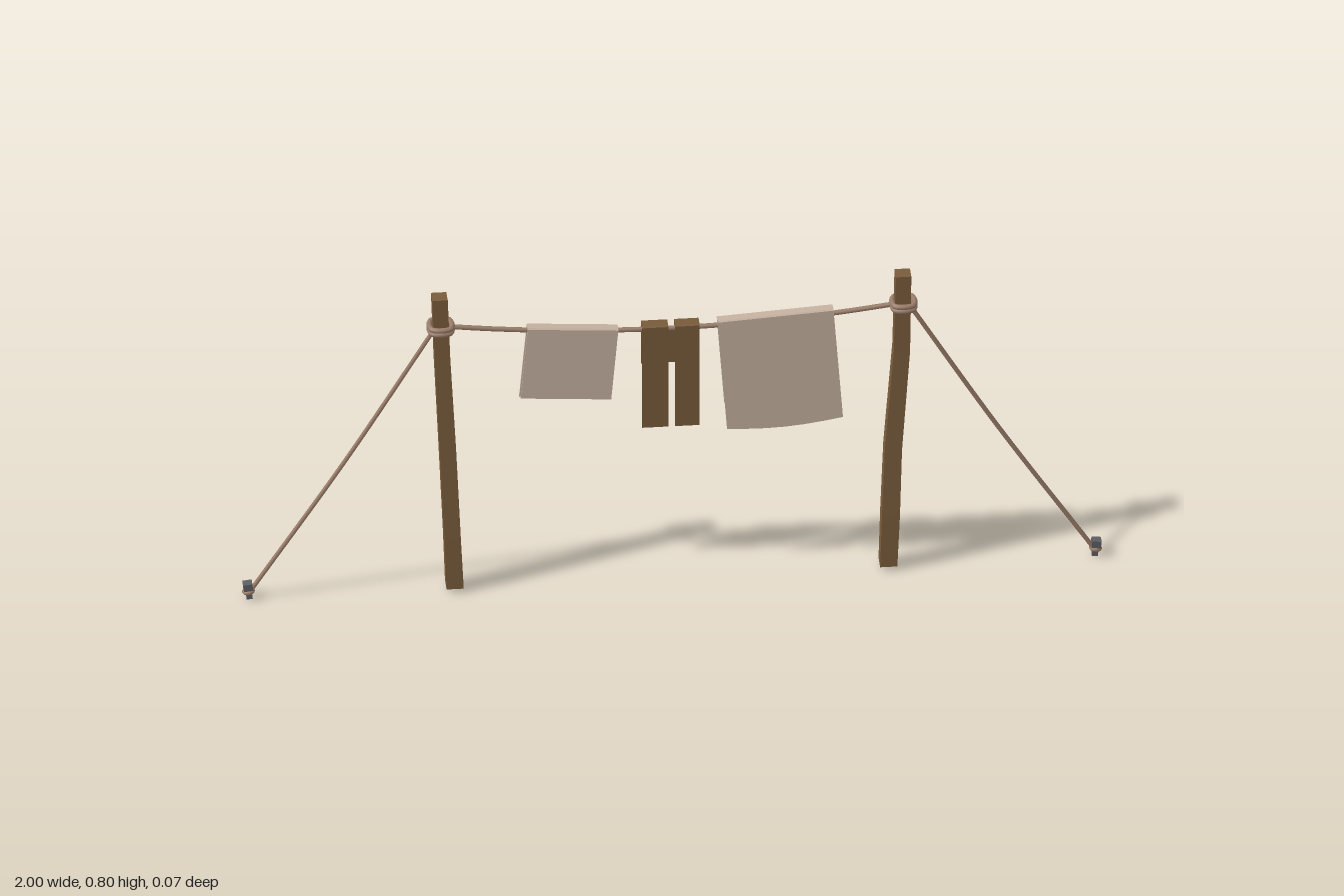
import * as THREE from 'three';

const mat = (name, color, side = THREE.FrontSide) =>
  Object.assign(new THREE.MeshStandardMaterial({ color, side }), { name });

export function createModel() {
  const wood = mat('brown wood', 0x7a5c3c);
  const rope = mat('rope', 0x9a7d69);
  const linen = mat('linen', 0xc4b09f);
  const brownCloth = mat('brown cloth', 0x785a3a);
  const iron = mat('dark iron', 0x5c5e62);
  const dark = mat('dark stitching', 0x46341f);

  const model = new THREE.Group();
  const add = (name, geo, material, parent = model) => {
    const m = new THREE.Mesh(geo, material);
    m.name = name;
    parent.add(m);
    return m;
  };
  const tube = (pts, r, closed = false) => new THREE.TubeGeometry(
    new THREE.CatmullRomCurve3(pts.map(p => new THREE.Vector3(...p)), closed), 28, r, 8, closed);
  const lineY = x => 0.686 + 0.038 * (x / 0.54) ** 2;

  // Leaning, slightly crooked square post; rings are [y, x, z, half width, half depth]
  const post = rings => {
    const geo = new THREE.BoxGeometry(1, 1, 1, 1, rings.length - 1, 1).toNonIndexed();
    const p = geo.attributes.position;
    for (let i = 0; i < p.count; i++) {
      const [y, x, z, w, d] = rings[Math.round((p.getY(i) + 0.5) * (rings.length - 1))];
      p.setXYZ(i, x + Math.sign(p.getX(i)) * w, y, z + Math.sign(p.getZ(i)) * d);
    }
    geo.computeVertexNormals();
    return geo;
  };
  add('rightPost', post([
    [0.01, -0.507, 0, 0.02, 0.021], [0.15, -0.513, 0.001, 0.019, 0.021],
    [0.4, -0.524, 0, 0.019, 0.019], [0.64, -0.536, -0.001, 0.018, 0.019],
    [0.805, -0.542, 0, 0.018, 0.018]]), wood);
  add('leftPost', post([
    [0.01, 0.503, 0, 0.02, 0.021], [0.15, 0.508, 0.001, 0.021, 0.021],
    [0.33, 0.514, 0, 0.02, 0.02], [0.6, 0.534, -0.001, 0.019, 0.019],
    [0.805, 0.538, 0, 0.018, 0.018]]), wood);

  // Sagging washing line
  const linePts = [];
  for (let i = -5; i <= 5; i++) linePts.push([i * 0.106, lineY(i * 0.106), 0]);
  add('washingLine', tube(linePts, 0.006), rope);

  for (const s of [-1, 1]) {
    const side = s > 0 ? 'left' : 'right';
    // Rope wound around the post
    const c = 0.021;
    for (const y of [0.716, 0.727]) {
      add(side + 'PostLashing', tube([
        [s * 0.539 - c, y, -c], [s * 0.539 + c, y, -c],
        [s * 0.539 + c, y, c], [s * 0.539 - c, y, c]], 0.0065, true), rope);
    }
    // Guy rope to the ground
    add(side + 'GuyRope', tube([
      [s * 0.55, 0.722, 0], [s * 0.762, 0.365, 0], [s * 0.98, 0.024, 0]], 0.0055), rope);

    // Ground peg with a loop of rope
    const peg = new THREE.Group();
    peg.name = side + 'Peg';
    add('pegShaft', new THREE.BoxGeometry(0.014, 0.036, 0.014).translate(0, 0.02, 0), iron, peg);
    add('pegHead', new THREE.BoxGeometry(0.022, 0.018, 0.022).translate(0, 0.035, 0), iron, peg);
    add('pegLoop', new THREE.TorusGeometry(0.01, 0.0055, 6, 12)
      .rotateX(Math.PI / 2).translate(0, 0.021, 0), rope, peg);
    peg.position.x = s * 0.984;
    peg.rotation.z = -s * 0.12;
    model.add(peg);
  }

  // Cloth folded over the line: an upside-down U swept along x, then skewed
  const cloth = ({ x0, x1, top0, top1, front, back, skew = 0, sag = 0, half = 0.013, flare = 0 }) => {
    const t = 0.005, h = half, f = flare;
    const shape = new THREE.Shape([
      [-h - f, -front], [-h + t - f, -front], [-h + t, -t], [h - t, -t],
      [h - t + f, -back], [h + f, -back], [h, -0.003], [h - 0.003, 0],
      [-h + 0.003, 0], [-h, -0.003]].map(p => new THREE.Vector2(...p)));
    const geo = new THREE.ExtrudeGeometry(shape, { depth: 1, steps: 6, bevelEnabled: false });
    const p = geo.attributes.position;
    for (let i = 0; i < p.count; i++) {
      const a = p.getX(i), b = p.getY(i), u = p.getZ(i), drop = -b / Math.max(front, back);
      p.setXYZ(i, x0 + u * (x1 - x0) + skew * drop,
        b + top0 + u * (top1 - top0) - sag * drop * Math.sin(Math.PI * u), -a);
    }
    geo.computeVertexNormals();
    return geo;
  };
  add('smallTowel', cloth({
    x0: -0.337, x1: -0.126, top0: 0.712, top1: 0.697,
    front: 0.19, back: 0.202, skew: -0.018, flare: 0.002 }), linen);
  add('largeSheet', cloth({
    x0: 0.105, x1: 0.375, top0: 0.705, top1: 0.722,
    front: 0.296, back: 0.238, skew: 0.022, sag: 0.01, flare: 0.002 }), linen);

  // Trousers: legs hang in front, the seat hangs behind
  const trousers = new THREE.Group();
  trousers.name = 'trousers';
  model.add(trousers);
  for (const [x0, x1] of [[-0.071, -0.01], [0.006, 0.063]]) {
    add('trouserLeg', cloth({
      x0, x1, top0: 0.702, top1: 0.702, front: 0.277, back: 0.117, half: 0.016 }), brownCloth, trousers);
    add('pocketSeam', new THREE.BoxGeometry(0.026, 0.004, 0.002)
      .translate((x0 + x1) / 2, 0.628, -0.0165), dark, trousers);
  }
  add('trouserSeat', new THREE.BoxGeometry(0.02, 0.09, 0.005)
    .translate(-0.002, 0.63, -0.0135), brownCloth, trousers);
  return model;
}
